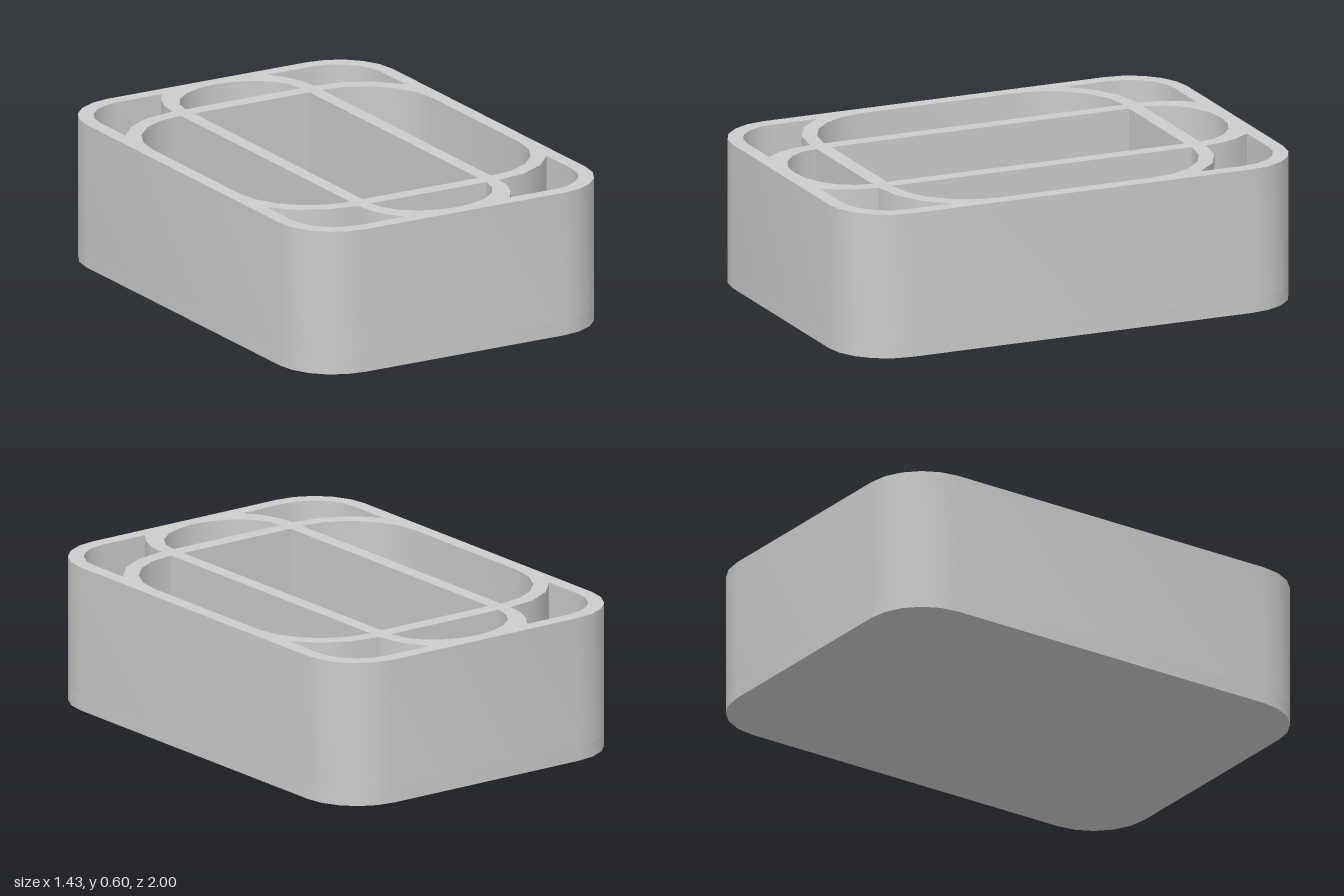
import * as THREE from 'three';
import { toCreasedNormals } from 'three/addons/utils/BufferGeometryUtils.js';

const HEIGHT = 0.6, FLOOR = 0.06;

// points along an elliptical arc, angles in radians
function arc(cx, cy, rx, ry, a0, a1, n = 5) {
  return Array.from({ length: n + 1 }, (_, i) => {
    const a = a0 + (a1 - a0) * i / n;
    return new THREE.Vector2(cx + rx * Math.cos(a), cy + ry * Math.sin(a));
  });
}

const mirror = (pts, sx, sy) => pts.map(p => new THREE.Vector2(p.x * sx, p.y * sy));

// rounded rectangle outline from half sizes and corner radius
function roundedRect(hx, hy, r) {
  const q = Math.PI / 2;
  return [[1, 1], [-1, 1], [-1, -1], [1, -1]].flatMap(([sx, sy], i) =>
    arc(sx * (hx - r), sy * (hy - r), r, r, i * q, (i + 1) * q));
}

function slab(points, holes, y0, y1) {
  const shape = new THREE.Shape(points);
  shape.holes = holes.map(h => new THREE.Path(h));
  const geo = new THREE.ExtrudeGeometry(shape, { depth: y1 - y0, bevelEnabled: false });
  geo.rotateX(-Math.PI / 2);
  geo.translate(0, y0, 0);
  return toCreasedNormals(geo, Math.PI / 5);
}

export function createModel() {
  const group = new THREE.Group();
  group.name = 'dividedTray';
  const material = new THREE.MeshStandardMaterial({ color: 0xcccccc });
  const outline = roundedRect(0.715, 1, 0.25);
  const H = Math.PI / 2;

  // long central compartment
  const centre = [[-0.27, -0.655], [0.27, -0.655], [0.27, 0.655], [-0.27, 0.655]]
    .map(([x, y]) => new THREE.Vector2(x, y));

  // side compartment with rounded outer corners
  const side = [
    new THREE.Vector2(0.33, -0.658),
    ...arc(0.335, -0.335, 0.32, 0.323, -H, 0),
    ...arc(0.335, 0.335, 0.32, 0.323, 0, H),
    new THREE.Vector2(0.33, 0.658),
  ];

  // domed compartment at each end
  const end = arc(0, 0.72, 0.27, 0.22, 0, Math.PI, 10);

  // corner compartment between the end dome, rim and oval divider
  const corner = [
    ...arc(0, 0.72, 0.33, 0.33, 0, Math.asin(0.22 / 0.33), 3),
    ...arc(0.455, 0.74, 0.2, 0.2, H, 0),
    ...arc(0.335, 0.335, 0.385, 0.385, Math.acos(0.32 / 0.385), H, 3),
  ];

  const holes = [centre];
  for (const s of [1, -1]) {
    holes.push(mirror(side, s, 1), mirror(end, 1, s));
    for (const t of [1, -1]) holes.push(mirror(corner, s, t));
  }

  const walls = new THREE.Mesh(slab(outline, holes, FLOOR, HEIGHT), material);
  walls.name = 'wallsAndDividers';
  const floor = new THREE.Mesh(slab(outline, [], 0, FLOOR), material);
  floor.name = 'floor';
  group.add(walls, floor);
  return group;
}
